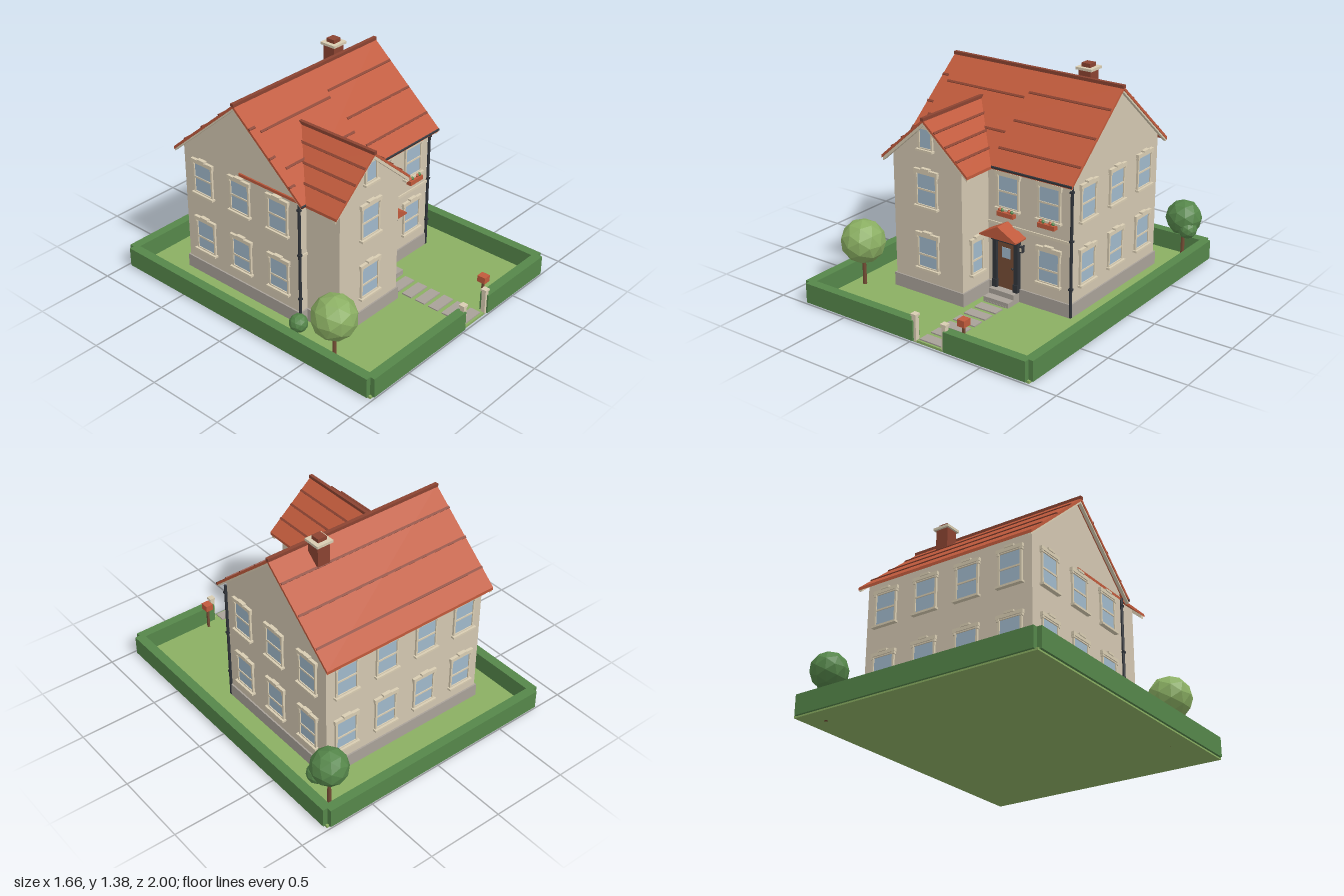
import * as THREE from 'three';

const mat = (name, color, flat = false) => {
  const m = new THREE.MeshStandardMaterial({ color });
  m.name = name;
  m.flatShading = flat;
  return m;
};

export function createModel() {
  const M = {
    wall: mat('cream render', 0xd2c6b0), trim: mat('pale trim', 0xd8ccb2),
    stone: mat('grey stone', 0xa8a198), roof: mat('terracotta', 0xc05a3c),
    brick: mat('dark brick', 0x8a4331), glass: mat('window glass', 0xa0b8ca),
    wood: mat('brown wood', 0x744c34), slate: mat('dark slate', 0x30343a),
    grass: mat('light green', 0x8aae62, true), leaf: mat('dark green', 0x55864a, true),
  };
  const root = new THREE.Group();
  root.name = 'house';

  const add = (parent, name, geo, m, x = 0, y = 0, z = 0) => {
    const mesh = new THREE.Mesh(geo, m);
    mesh.name = name;
    mesh.position.set(x, y, z);
    parent.add(mesh);
    return mesh;
  };
  const box = (p, name, m, w, h, d, x, y, z) => add(p, name, new THREE.BoxGeometry(w, h, d), m, x, y, z);
  // Box given by its limits on each axis
  const span = (p, name, m, x0, x1, y0, y1, z0, z1) =>
    box(p, name, m, x1 - x0, y1 - y0, z1 - z0, (x0 + x1) / 2, (y0 + y1) / 2, (z0 + z1) / 2);
  const group = (name, x = 0, y = 0, z = 0, ry = 0, parent = root) => {
    const g = new THREE.Group();
    g.name = name;
    g.position.set(x, y, z);
    g.rotation.y = ry;
    parent.add(g);
    return g;
  };
  // Outline in x and y, extruded from z0 to z1
  const prism = (p, name, m, pts, z0, z1) => {
    const shape = new THREE.Shape(pts.map(([x, y]) => new THREE.Vector2(x, y)));
    const geo = new THREE.ExtrudeGeometry(shape, { depth: z1 - z0, bevelEnabled: false });
    return add(p, name, geo, m, 0, 0, z0);
  };
  const chevron = (p, name, m, run, top, slope, t, z0, z1) => {
    const low = top - run * slope;
    prism(p, name, m, [[-run, low], [-run, low - t], [0, top - t], [run, low - t], [run, low], [0, top]], z0, z1);
  };
  const gableBody = (p, name, half, apex, slope, z0, z1) => {
    const eave = apex - half * slope;
    prism(p, name, M.wall, [[-half, 0.015], [half, 0.015], [half, eave], [0, apex], [-half, eave]], z0, z1);
  };
  // Dark tile course lying on one slope
  const course = (p, u, top, slope, z0, z1) => {
    const b = box(p, 'tileCourse', M.brick, 0.014, 0.012, z1 - z0, u, top - Math.abs(u) * slope, (z0 + z1) / 2);
    b.rotation.z = -Math.sign(u) * Math.atan(slope);
  };

  // Ground and hedges
  span(root, 'lawn', M.grass, -0.815, 0.815, 0, 0.015, -0.985, 0.985);
  for (const s of [-1, 1]) box(root, 'sideHedge', M.leaf, 0.06, 0.125, 1.94, s * 0.8, 0.0725, 0);
  span(root, 'backHedge', M.leaf, -0.8, 0.8, 0.01, 0.135, -1, -0.94);
  span(root, 'frontHedge', M.leaf, -0.8, 0.022, 0.01, 0.135, 0.94, 1);
  span(root, 'frontHedge', M.leaf, 0.24, 0.8, 0.01, 0.135, 0.94, 1);
  for (const x of [0.025, 0.238]) {
    box(root, 'gatePost', M.trim, 0.028, 0.155, 0.028, x, 0.085, 0.975);
    box(root, 'gatePostCap', M.trim, 0.038, 0.014, 0.038, x, 0.169, 0.975);
  }

  // Path and front steps
  for (let i = 0; i < 7; i++) box(root, 'pathSlab', M.stone, 0.155, 0.01, 0.07, 0.128, 0.018, 0.337 + i * 0.1);
  span(root, 'lowerStep', M.stone, 0.04, 0.222, 0.015, 0.047, 0.24, 0.37);
  span(root, 'upperStep', M.stone, 0.04, 0.222, 0.047, 0.08, 0.24, 0.315);

  // Main block: local x runs towards the back, local z along the ridge
  const S = 0.86, ridgeY = 1.305;
  const main = group('mainBlock', 0, 0, -0.217, Math.PI / 2);
  gableBody(main, 'mainWalls', 0.466, 1.282, S, -0.58, 0.58);
  chevron(main, 'mainRoof', M.roof, 0.52, ridgeY, S, 0.02, -0.615, 0.615);
  for (const s of [-1, 1]) chevron(main, 'bargeBoard', M.trim, 0.517, 1.286, S, 0.014, s * 0.6 - 0.01, s * 0.6 + 0.01);
  box(main, 'mainRidge', M.brick, 0.024, 0.02, 1.236, 0, ridgeY, 0);
  for (const u of [0.115, 0.265, 0.418]) course(main, u, ridgeY, S, -0.615, 0.61);
  for (const u of [-0.127, -0.28, -0.427]) {
    course(main, u, ridgeY, S, -0.615, -0.57);
    course(main, u, ridgeY, S, 0.04, 0.61);
  }
  for (const u of [-0.157, -0.347]) course(main, u, ridgeY, S, -0.555, 0.025);

  // Front wing
  const W = 0.875, wingRidge = 1.135;
  const wing = group('frontWing', -0.265);
  gableBody(wing, 'wingWalls', 0.255, 1.112, W, 0, 0.5);
  chevron(wing, 'wingRoof', M.roof, 0.32, wingRidge, W, 0.018, -0.22, 0.532);
  chevron(wing, 'wingBargeBoard', M.trim, 0.316, 1.117, W, 0.022, 0.498, 0.524);
  box(wing, 'wingRidge', M.brick, 0.022, 0.02, 0.565, 0, wingRidge, 0.254);
  for (const u of [0.08, 0.16, 0.24]) for (const s of [-1, 1]) course(wing, s * u, wingRidge, W, 0, 0.53);

  // Plinths, string courses, gutters and downpipes
  span(root, 'mainPlinth', M.stone, -0.59, 0.59, 0.012, 0.1, -0.693, 0.259);
  span(root, 'wingPlinth', M.stone, -0.53, 0, 0.012, 0.1, 0.2, 0.51);
  span(root, 'stringCourse', M.trim, -0.01, 0.582, 0.473, 0.49, 0.24, 0.257);
  span(root, 'stringCourse', M.trim, -0.582, -0.52, 0.473, 0.49, 0.24, 0.257);
  for (const [x0, x1] of [[-0.615, -0.57], [0.045, 0.615]]) {
    const g = add(root, 'gutter', new THREE.CylinderGeometry(0.009, 0.009, x1 - x0, 8), M.slate, (x0 + x1) / 2, 0.85, 0.3);
    g.rotation.z = Math.PI / 2;
  }
  for (const s of [-1, 1]) {
    add(root, 'downpipe', new THREE.CylinderGeometry(0.009, 0.009, 0.83, 8), M.slate, s * 0.586, 0.435, 0.256);
    for (const y of [0.2, 0.5, 0.8]) box(root, 'pipeBracket', M.slate, 0.022, 0.012, 0.022, s * 0.586, y, 0.256);
  }

  // Chimney
  const chimney = group('chimney', 0.32, 0, -0.295);
  span(chimney, 'stack', M.brick, -0.043, 0.043, 1.12, 1.345, -0.043, 0.043);
  box(chimney, 'cap', M.trim, 0.112, 0.016, 0.112, 0, 1.35, 0);
  box(chimney, 'flue', M.brick, 0.06, 0.03, 0.06, 0, 1.367, 0);

  // Sash windows, facing local +z
  const sash = (x, y, z, ry = 0, w = 0.135, h = 0.19, lintel = true) => {
    const g = group('window', x, y, z, ry), bar = 0.012;
    box(g, 'pane', M.glass, w, h, 0.006, 0, 0, 0.003);
    for (const s of [-1, 1]) {
      box(g, 'jamb', M.trim, bar, h + 2 * bar, 0.014, s * (w + bar) / 2, 0, 0.006);
      box(g, 'rail', M.trim, w, bar, 0.014, 0, s * (h + bar) / 2, 0.006);
    }
    box(g, 'sill', M.trim, w + 0.042, 0.013, 0.03, 0, -h / 2 - 0.013, 0.012);
    if (!lintel) return;
    box(g, 'meetingRail', M.trim, w, 0.011, 0.01, 0, y < 0.5 ? -0.018 : 0, 0.006);
    box(g, 'lintel', M.trim, w + 0.042, 0.022, 0.02, 0, h / 2 + 0.019, 0.009);
    box(g, 'keystone', M.trim, 0.06, 0.014, 0.026, 0, h / 2 + 0.034, 0.011);
    for (const s of [-1, 1]) box(g, 'corbel', M.trim, 0.016, 0.018, 0.018, s * (w / 2 + 0.01), h / 2 + 0.002, 0.009);
  };
  for (const y of [0.295, 0.695]) {
    sash(-0.265, y, 0.5);
    sash(0.43, y, 0.249);
    for (const z of [0.088, -0.217, -0.523]) for (const s of [-1, 1]) sash(s * 0.58, y, z, s * Math.PI / 2);
    for (const x of [-0.44, -0.147, 0.147, 0.44]) sash(x, y, -0.683, Math.PI);
  }
  sash(0.14, 0.695, 0.249);
  sash(-0.01, 0.295, 0.37, Math.PI / 2, 0.09);
  sash(-0.265, 1.012, 0.5, 0, 0.082, 0.115, false);
  prism(wing, 'gablePediment', M.trim, [[-0.045, 1.076], [0.045, 1.076], [0, 1.112]], 0.5, 0.514);

  // Flower boxes
  for (const x of [0.14, 0.43]) {
    const g = group('flowerBox', x, 0, 0.275);
    box(g, 'planter', M.roof, 0.118, 0.028, 0.035, 0, 0.564, 0);
    for (const [dx, m] of [[-0.045, M.roof], [-0.027, M.leaf], [0.022, M.roof], [0.042, M.leaf]])
      add(g, 'plant', new THREE.IcosahedronGeometry(0.013, 0), m, dx, 0.585, 0);
  }

  // Front door with canopy and lantern
  const door = group('frontDoor', 0.132, 0, 0.249);
  for (const s of [-1, 1]) {
    span(door, 'doorPost', M.slate, s * 0.078 - 0.014, s * 0.078 + 0.014, 0.08, 0.39, 0, 0.03);
    box(door, 'postBase', M.slate, 0.034, 0.05, 0.036, s * 0.076, 0.105, 0.018);
  }
  span(door, 'doorHead', M.slate, -0.096, 0.096, 0.385, 0.41, 0, 0.036);
  span(door, 'doorLeaf', M.wood, -0.065, 0.065, 0.08, 0.388, 0, 0.014);
  box(door, 'doorPane', M.glass, 0.062, 0.066, 0.006, 0, 0.312, 0.015);
  add(door, 'doorKnob', new THREE.SphereGeometry(0.007, 10, 8), M.slate, 0.047, 0.222, 0.02);
  prism(door, 'canopy', M.roof, [[-0.132, 0.43], [0.132, 0.43], [0.132, 0.438], [0, 0.51], [-0.132, 0.438]], 0, 0.105);
  box(door, 'lantern', M.slate, 0.022, 0.036, 0.022, 0.119, 0.37, 0.025);
  box(door, 'lanternPane', M.trim, 0.012, 0.024, 0.004, 0.119, 0.37, 0.036);
  box(door, 'lanternArm', M.slate, 0.008, 0.008, 0.03, 0.119, 0.385, 0.01);

  // Letter box on a post
  box(root, 'letterBoxPost', M.wood, 0.014, 0.16, 0.014, 0.315, 0.085, 0.905);
  box(root, 'letterBox', M.roof, 0.05, 0.042, 0.055, 0.315, 0.18, 0.905);

  // Trees and bush
  const crown = (p, m, r, x, y, z) => add(p, 'crown', new THREE.IcosahedronGeometry(r, 1), m, x, y, z);
  const tree = (name, m, r, x, y, z) => {
    const g = group(name, x, 0, z);
    add(g, 'trunk', new THREE.CylinderGeometry(0.01, 0.013, y, 7), M.wood, 0, y / 2, 0);
    crown(g, m, r, 0, y, 0);
    return g;
  };
  tree('lightTree', M.grass, 0.139, -0.688, 0.3, 0.61);
  crown(tree('darkTree', M.leaf, 0.115, 0.695, 0.302, -0.855), M.leaf, 0.062, 0.053, -0.052 + 0.302, 0.045);
  crown(root, M.leaf, 0.058, -0.63, 0.065, 0.28).name = 'bush';

  return root;
}
